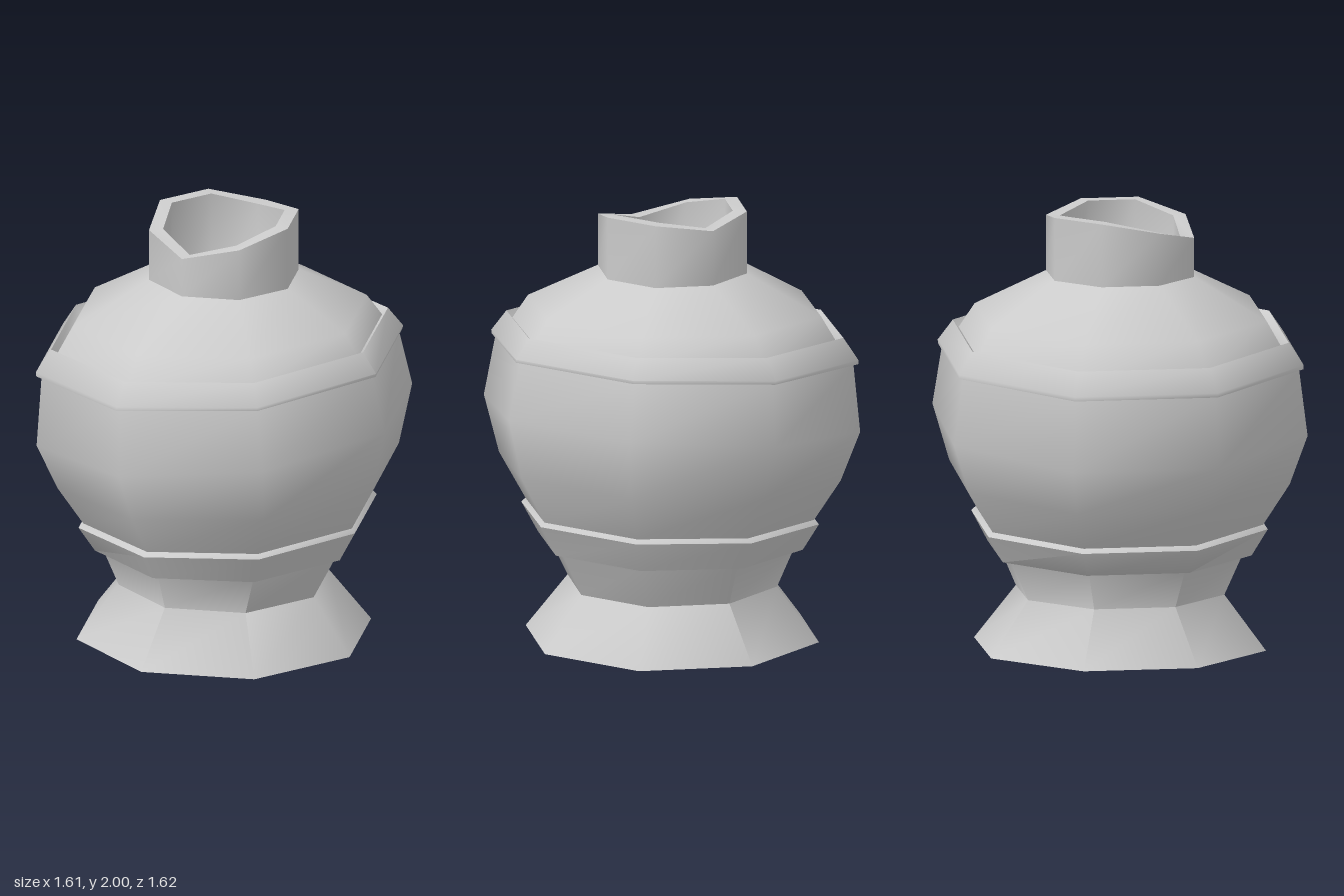
import * as THREE from 'three';
import { toCreasedNormals } from 'three/addons/utils/BufferGeometryUtils.js';

const SIDES = 8;
const corners = Array.from({ length: SIDES }, (_, j) => {
  const t = ((j + 0.5) / SIDES) * Math.PI * 2, k = Math.cos(Math.PI / SIDES);
  return [Math.cos(t) / k, Math.sin(t) / k];
});

// Octagonal ring leaning from its right end (xr, yr) to its left end (xl, yl).
function tiltedRing([xr, yr, xl, yl, depth]) {
  return corners.map(([c, s]) => {
    const f = (c + 1) / 2;
    return [xr + (xl - xr) * f, yr + (yl - yr) * f, s * depth];
  });
}

// Level ring, or one with a height for each corner.
function levelRing(r, y) {
  return corners.map(([c, s], j) => [c * r, Array.isArray(y) ? y[j] : y, s * r]);
}

// Skin a stack of rings.
function skin(rings) {
  const index = [];
  for (let i = 0; i < rings.length - 1; i++) {
    for (let j = 0; j < SIDES; j++) {
      const n = (j + 1) % SIDES;
      const a = i * SIDES + j, b = i * SIDES + n;
      index.push(a, a + SIDES, b, b, a + SIDES, b + SIDES);
    }
  }
  const g = new THREE.BufferGeometry();
  g.setAttribute('position', new THREE.Float32BufferAttribute(rings.flat(2), 3));
  g.setIndex(index);
  g.computeVertexNormals();
  return g;
}

export function createModel() {
  const group = new THREE.Group();
  const material = new THREE.MeshStandardMaterial({ color: 0xcccccc, side: THREE.DoubleSide });
  const add = (name, geometry) => {
    const mesh = new THREE.Mesh(geometry, material);
    mesh.name = name;
    group.add(mesh);
  };

  // Open foot, belly with two leaning bands, and shoulder
  const profile = [
    [-0.63, 0, 0.63, 0, 0.63],
    [-0.45, 0.25, 0.45, 0.25, 0.45],
    [-0.515, 0.425, 0.55, 0.455, 0.53],
    [-0.55, 0.425, 0.58, 0.455, 0.57], // lower band
    [-0.62, 0.54, 0.655, 0.60, 0.64],
    [-0.60, 0.56, 0.64, 0.62, 0.62],
    [-0.71, 0.74, 0.75, 0.84, 0.735],
    [-0.80, 0.95, 0.805, 1.12, 0.81],
    [-0.78, 1.28, 0.745, 1.385, 0.77],
    [-0.803, 1.28, 0.762, 1.385, 0.79], // upper band
    [-0.805, 1.30, 0.765, 1.40, 0.79],
    [-0.74, 1.405, 0.70, 1.49, 0.725],
    [-0.72, 1.37, 0.675, 1.46, 0.70],
    [-0.645, 1.51, 0.61, 1.56, 0.63], // shoulder
    [-0.32, 1.71, 0.32, 1.71, 0.32],
  ];
  add('body', toCreasedNormals(skin(profile.map(tiltedRing)), 1.04));

  // Neck with a broken rim
  const rim = [2.0, 1.95, 1.89, 1.95, 2.0, 2.0, 1.965, 2.0];
  const neck = [levelRing(0.32, 1.71), levelRing(0.32, rim), levelRing(0.26, rim)];
  add('neck', toCreasedNormals(skin(neck), 1.04));

  // Smooth hollow inside the neck, closed at the bottom
  add('hollow', skin([levelRing(0.26, rim), levelRing(0.26, 1.4), levelRing(0.001, 1.35)]));

  return group;
}
